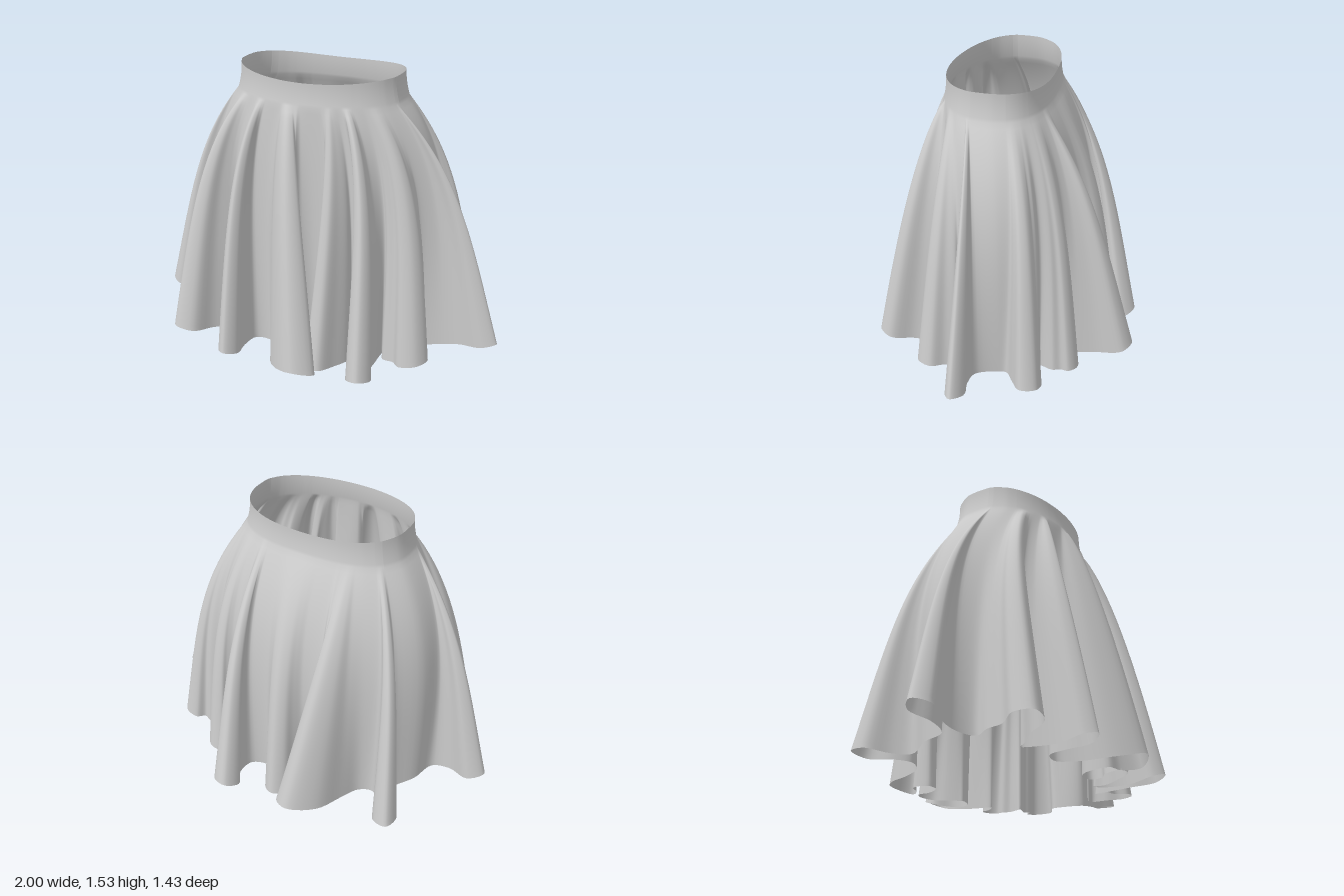
import * as THREE from 'three';

// Folds at the hem, going round from +x towards +z:
// root x,z, bend x,z, tip x,z, tip half width, neck half width
const FOLDS = [
  [0.66, 0.08, 0.80, 0.08, 1.00, 0.10, 0.05, 0.022],
  [0.52, 0.23, 0.58, 0.29, 0.64, 0.38, 0.08, 0.09],
  [0.36, 0.34, 0.39, 0.50, 0.42, 0.67, 0.065, 0.035],
  [0.20, 0.36, 0.20, 0.48, 0.09, 0.55, 0.06, 0.05],
  [-0.08, 0.36, -0.10, 0.66, 0.18, 0.64, 0.08, 0.06],
  [-0.35, 0.33, -0.35, 0.48, -0.35, 0.65, 0.055, 0.04],
  [-0.55, 0.25, -0.60, 0.36, -0.72, 0.51, 0.08, 0.075],
  [-0.67, 0.04, -0.80, 0.05, -1.00, 0.03, 0.07, 0.025],
  [-0.51, -0.26, -0.58, -0.36, -0.68, -0.54, 0.065, 0.035],
  [-0.27, -0.37, -0.28, -0.62, -0.05, -0.61, 0.07, 0.06],
  [0.00, -0.40, 0.00, -0.48, 0.00, -0.59, 0.06, 0.08],
  [0.27, -0.39, 0.29, -0.55, 0.23, -0.71, 0.07, 0.035],
  [0.45, -0.33, 0.46, -0.39, 0.48, -0.45, 0.055, 0.06],
  [0.60, -0.19, 0.70, -0.19, 0.77, -0.29, 0.07, 0.065],
];
const CX = -0.02, CZ = -0.02, HIP_X = 0.69, HIP_Z = 0.405;
const TOP_ROWS = 8, ROWS = 56, STEPS = 5;

const hipAngle = (x, z) => Math.atan2((z - CZ) / HIP_Z, (x - CX) / HIP_X);
const hipPoint = (a, k = 1) =>
  new THREE.Vector2(CX + Math.cos(a) * HIP_X * k, CZ + Math.sin(a) * HIP_Z * k);

// Waist opening: squarer towards the back
function waistPoint(a, k) {
  const c = Math.cos(a), s = Math.sin(a);
  const e = s > 0 ? 1 : 0.75;
  const x = Math.sign(c) * Math.abs(c) ** e, z = Math.sign(s) * Math.abs(s) ** e;
  return new THREE.Vector2(CX + x * 0.44 * k, 0.07 + z * 0.28 * k);
}

// Control points of the hem with the hip angle each one hangs from
function hemControls() {
  const hem = [], angles = [];
  const roots = FOLDS.map(f => hipAngle(f[0], f[1]));
  for (let i = 1; i < roots.length; i++) while (roots[i] < roots[i - 1]) roots[i] += Math.PI * 2;
  FOLDS.forEach(([rx, rz, bx, bz, tx, tz, wide, neck], i) => {
    const next = i + 1 < roots.length ? roots[i + 1] : roots[0] + Math.PI * 2;
    const prev = i > 0 ? roots[i - 1] : roots[roots.length - 1] - Math.PI * 2;
    const spread = Math.min(neck * 2, 0.34 * Math.min(next - roots[i], roots[i] - prev));
    const path = new THREE.QuadraticBezierCurve(
      new THREE.Vector2(rx, rz), new THREE.Vector2(bx, bz), new THREE.Vector2(tx, tz));
    const add = (t, offset, k) => {
      const p = path.getPoint(t), d = path.getTangent(t);
      hem.push(new THREE.Vector3(p.x - d.y * offset, 0, p.y + d.x * offset));
      angles.push(roots[i] + k * spread);
    };
    add(0.1, -neck * 1.4, -1);
    add(0.45, -neck, -0.7);
    add(0.82, -wide, -0.35);
    add(1, 0, 0);
    add(0.82, wide, 0.35);
    add(0.45, neck, 0.7);
    add(0.1, neck * 1.4, 1);
    // valley before the next fold
    const a = (roots[i] + next) / 2, v = hipPoint(a, 0.95);
    hem.push(new THREE.Vector3(v.x, 0, v.y));
    angles.push(a);
  });
  return { hem, angles };
}

function skirtGeometry() {
  const { hem, angles } = hemControls();
  const cols = hem.length * STEPS;
  const loop = points => new THREE.CatmullRomCurve3(points, true, 'centripetal');
  const ring = fn => loop(angles.map(a => { const p = fn(a); return new THREE.Vector3(p.x, 0, p.y); }));
  const loops = [
    ring(a => waistPoint(a, 1)),
    ring(a => waistPoint(a, 1.05)),
    ring(a => hipPoint(a)),
    loop(hem),
  ];
  const columns = Array.from({ length: cols }, (_, c) => loops.map(l => l.getPoint(c / cols)));
  const positions = [], index = [];

  for (let r = 0; r <= ROWS; r++) {
    for (const [waist, yoke, hip, low] of columns) {
      const topY = 1.5 + 0.025 * (waist.x / 0.44) ** 2;
      const hemY = 0.12 * low.x ** 2 + 0.06 * (Math.abs(low.z) / 0.7) ** 6;
      let p, y;
      if (r <= TOP_ROWS) {
        // waistband
        const t = r / TOP_ROWS;
        p = waist.clone().lerp(yoke, t * t);
        y = THREE.MathUtils.lerp(topY, 1.38, t);
      } else {
        // flare out to the hip, then open into folds, sooner at the front
        const s = (r - TOP_ROWS) / (ROWS - TOP_ROWS);
        const open = 1.12 - 0.4 * THREE.MathUtils.clamp(low.z / 0.7, 0, 1);
        p = yoke.clone().lerp(hip, 1 - (1 - s) ** 3.2).lerp(low, s ** open);
        y = THREE.MathUtils.lerp(1.38, hemY, s);
      }
      positions.push(p.x, y, p.z);
    }
  }
  for (let r = 0; r < ROWS; r++) {
    for (let c = 0; c < cols; c++) {
      const a = r * cols + c, b = r * cols + (c + 1) % cols;
      index.push(a, b, a + cols, b, b + cols, a + cols);
    }
  }
  const g = new THREE.BufferGeometry();
  g.setAttribute('position', new THREE.Float32BufferAttribute(positions, 3));
  g.setIndex(index);
  g.computeVertexNormals();
  return g;
}

export function createModel() {
  const group = new THREE.Group();
  group.name = 'pleatedSkirt';
  const cloth = new THREE.MeshStandardMaterial({ color: 0xcccccc, side: THREE.DoubleSide });
  const skirt = new THREE.Mesh(skirtGeometry(), cloth);
  skirt.name = 'skirtCloth';
  group.add(skirt);
  return group;
}
